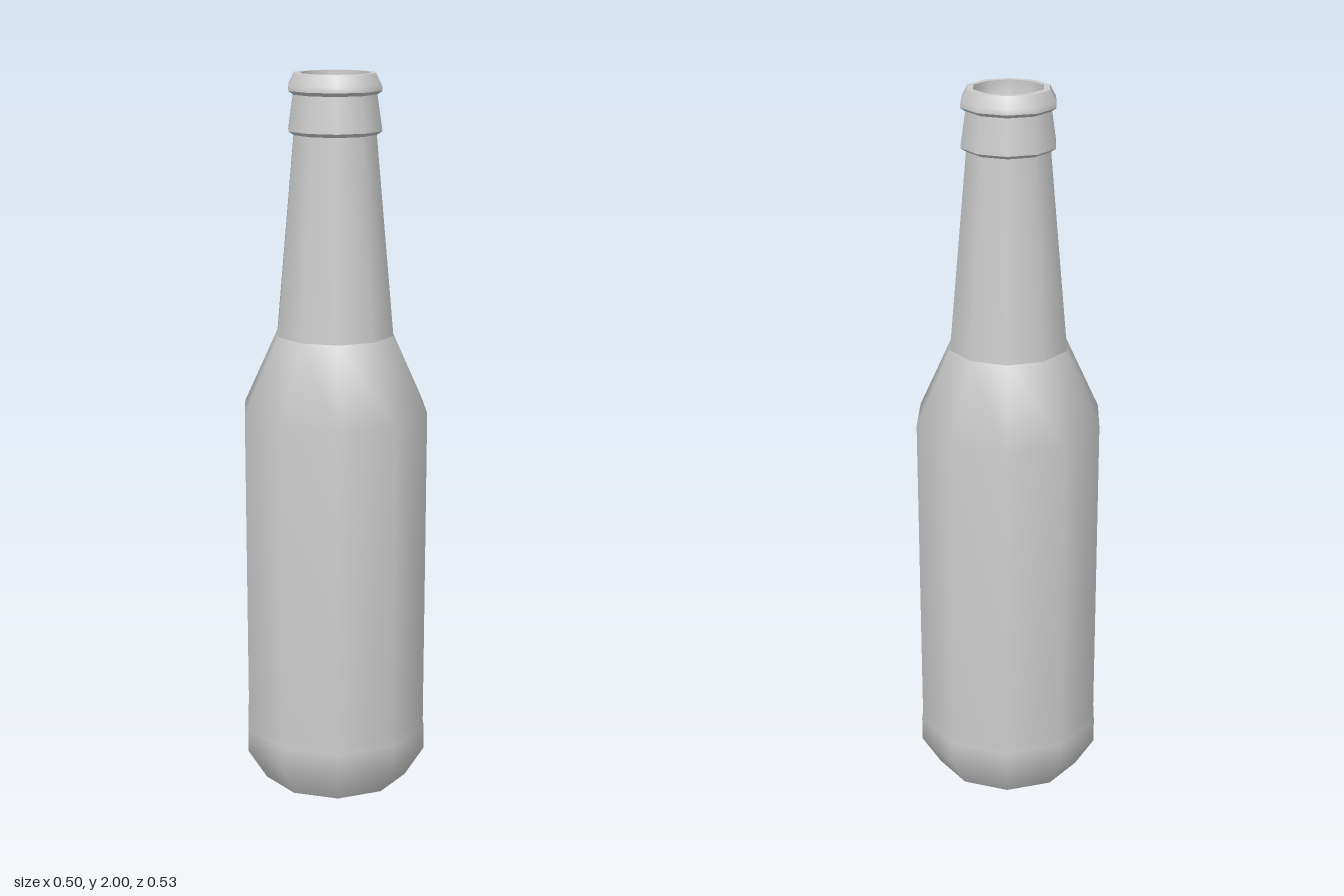
import * as THREE from 'three';

const SIDES = 10;

export function createModel() {
  const bottle = new THREE.Group();
  bottle.name = 'bottle';
  const material = new THREE.MeshStandardMaterial({ color: 0xcccccc });

  // Each part is a smooth ten-sided band; separate bands keep sharp edges between them.
  function band(name, profile) {
    const points = profile.map(([r, y]) => new THREE.Vector2(r, y));
    const mesh = new THREE.Mesh(new THREE.LatheGeometry(points, SIDES), material);
    mesh.name = name;
    bottle.add(mesh);
  }

  // Flat underside
  band('base', [[0, 0], [0.21, 0]]);
  // Bevelled heel, straight body and sloping shoulder
  band('body', [[0.21, 0], [0.265, 0.09], [0.265, 0.16], [0.262, 0.18], [0.262, 1.09], [0.165, 1.3]]);
  // Tapered neck
  band('neck', [[0.165, 1.3], [0.115, 1.84]]);
  // Collar ring below the mouth
  band('collarUnderside', [[0.115, 1.84], [0.13, 1.85]]);
  band('collar', [[0.13, 1.85], [0.128, 1.865], [0.116, 1.945]]);
  // Lip around the mouth
  band('lipUnderside', [[0.116, 1.945], [0.13, 1.955]]);
  band('lip', [[0.13, 1.955], [0.128, 1.97], [0.112, 2]]);
  band('rim', [[0.112, 2], [0.095, 2]]);
  // Recess inside the mouth
  band('mouthInside', [[0.095, 2], [0.093, 1.86], [0, 1.86]]);

  return bottle;
}
